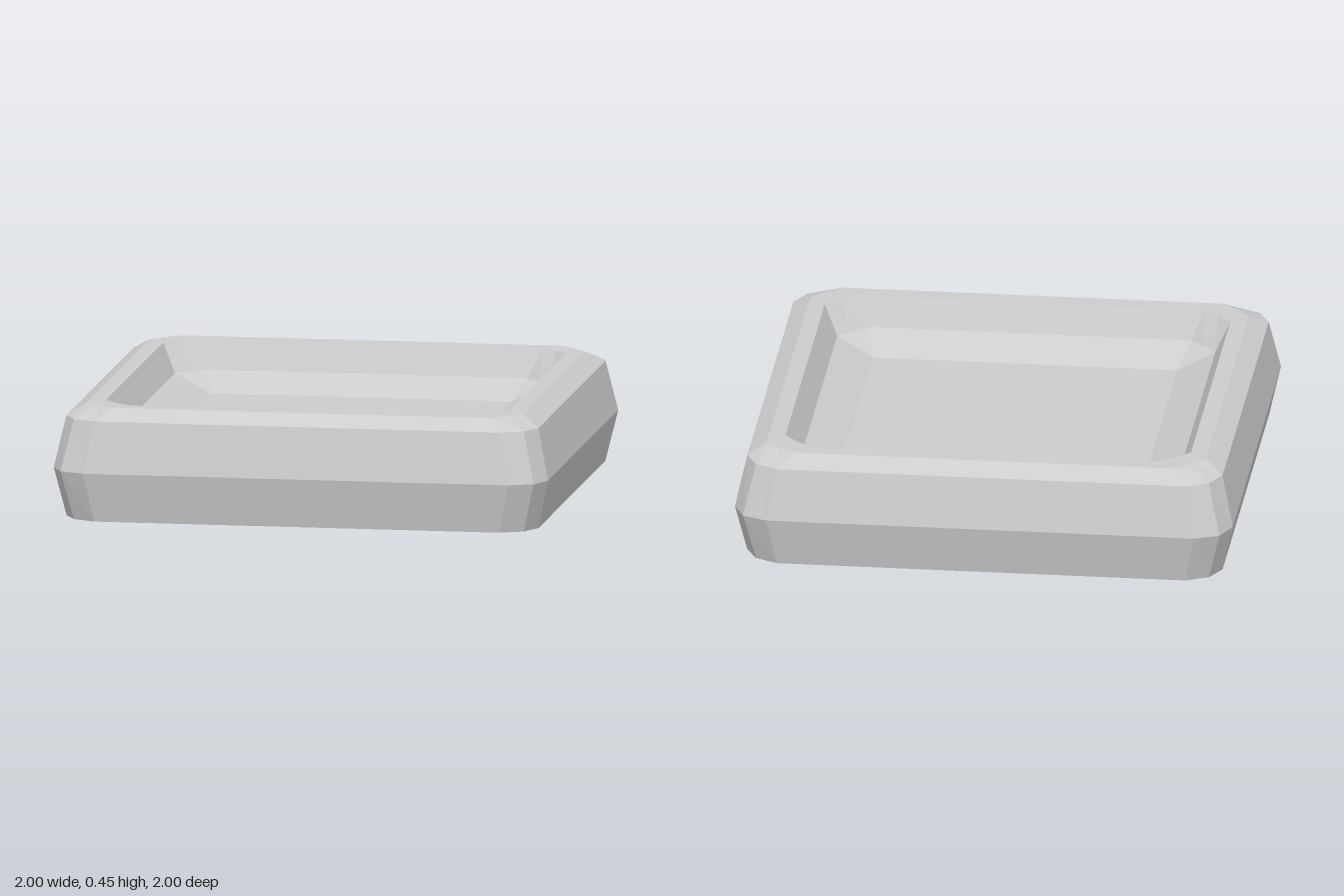
import * as THREE from 'three';

// Rounded-square ring: half width h, corner middle m, straight-side end t
function ring([y, h, m, t]) {
  const points = [];
  let corner = [[h, t], [m, m], [t, h]];
  for (let k = 0; k < 4; k++) {
    for (const [x, z] of corner) points.push([x, y, z]);
    corner = corner.map(([x, z]) => [-z, x]);
  }
  return points;
}

// Skin a list of rings with flat faces, skipping collapsed triangles
function loft(sections) {
  const rings = sections.map(ring);
  const pos = [];
  const same = (p, q) => p.every((v, i) => Math.abs(v - q[i]) < 1e-6);
  const tri = (a, b, c) => {
    if (!same(a, b) && !same(b, c) && !same(a, c)) pos.push(...a, ...b, ...c);
  };
  for (let s = 0; s < rings.length - 1; s++) {
    const lo = rings[s], hi = rings[s + 1];
    for (let i = 0; i < lo.length; i++) {
      const j = (i + 1) % lo.length;
      tri(lo[i], hi[i], hi[j]);
      tri(lo[i], hi[j], lo[j]);
    }
  }
  const geometry = new THREE.BufferGeometry();
  geometry.setAttribute('position', new THREE.Float32BufferAttribute(pos, 3));
  geometry.computeVertexNormals();
  return geometry;
}

export function createModel() {
  const group = new THREE.Group();
  group.name = 'squareTray';
  const grey = new THREE.MeshStandardMaterial({ color: 0xcccccc, flatShading: true });
  grey.name = 'light grey';

  // Shared section rings: [y, half width, corner middle, straight-side end]
  const shoulder = [0.405, 0.955, 0.91, 0.82];
  const lip = [0.45, 0.815, 0.763, 0.7];
  const parts = {
    // Underside and outer walls bulging at mid height
    outerBody: [[0, 0, 0, 0], [0, 0.955, 0.91, 0.82], [0.2, 1, 0.957, 0.86], shoulder],
    // Bevel and flat top edge
    rim: [shoulder, [0.45, 0.882, 0.828, 0.765], lip],
    // Inner wall, sloped border and square floor
    basin: [lip, [0.335, 0.76, 0.705, 0.65], [0.265, 0.61, 0.61, 0.61], [0.265, 0, 0, 0]],
  };
  for (const [name, sections] of Object.entries(parts)) {
    const mesh = new THREE.Mesh(loft(sections), grey);
    mesh.name = name;
    group.add(mesh);
  }
  return group;
}
